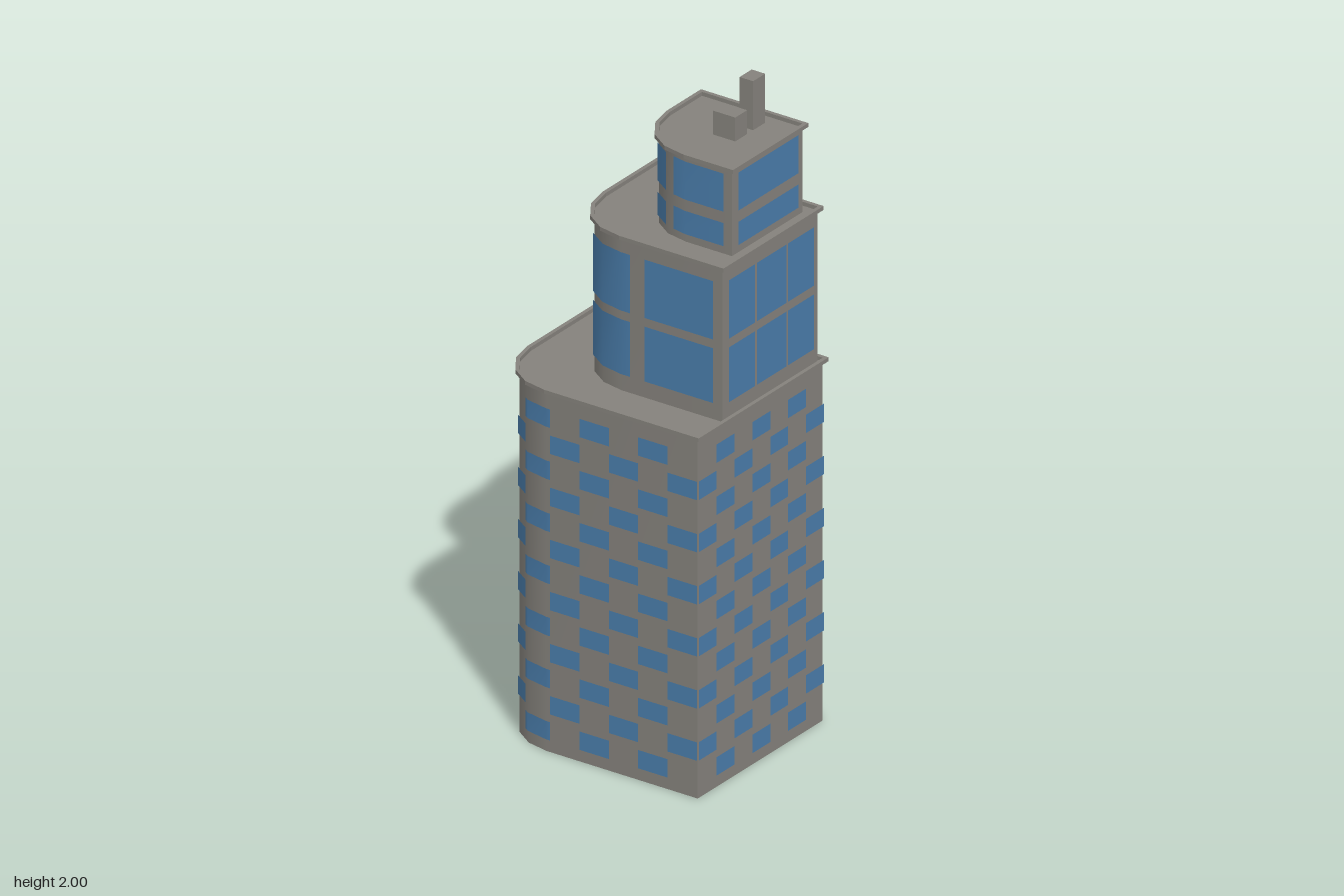
import * as THREE from 'three';

const concrete = new THREE.MeshStandardMaterial({ color: 0x85827c, side: THREE.DoubleSide });
concrete.name = 'concrete grey';
const glass = new THREE.MeshStandardMaterial({ color: 0x4a7dab });
glass.name = 'window blue';

const R = 0.185;      // radius of the rounded back corner
const LIP = 0.012;    // height and overhang of the roof trim
const PROUD = 0.004;  // how far the panes stand off the wall

// Wall extents of the three stacked tiers
const tiers = [
  { name: 'lower', x0: -0.3, x1: 0.3, z0: -0.35, z1: 0.35, y0: 0, y1: 1.125 },
  { name: 'middle', x0: -0.17, x1: 0.287, z0: -0.187, z1: 0.342, y0: 1.113, y1: 1.597 },
  { name: 'upper', x0: -0.085, x1: 0.253, z0: -0.028, z1: 0.314, y0: 1.585, y1: 1.86 },
];

// Back wall, rounded corner and left wall as one path of [x, z] points
function roundedPath(t, o) {
  const pts = [[t.x1 + o, t.z0 - o]];
  for (let i = 0; i <= 4; i++) {
    const a = (i / 4) * Math.PI / 2;
    pts.push([t.x0 + R - (R + o) * Math.sin(a), t.z0 + R - (R + o) * Math.cos(a)]);
  }
  pts.push([t.x0 - o, t.z1 + o]);
  return pts;
}

// Fractional position on a path where one coordinate (0 = x, 1 = z) has a value
function locate(path, axis, v) {
  for (let i = 0; i < path.length - 1; i++) {
    const a = path[i][axis], b = path[i + 1][axis];
    if (Math.abs(a - b) > 1e-6 && (v - a) * (v - b) <= 0) return i + (v - a) / (b - a);
  }
  return axis === 0 ? 0 : path.length - 1;
}

// Piece of a path between two fractional positions
function cut(path, s, e) {
  const at = (p) => {
    const i = Math.min(Math.floor(p), path.length - 2), f = p - i;
    return [0, 1].map((k) => path[i][k] + (path[i + 1][k] - path[i][k]) * f);
  };
  const pts = [at(s)];
  for (let i = Math.floor(s) + 1; i < e - 1e-6; i++) pts.push(path[i]);
  pts.push(at(e));
  return pts;
}

// Upright strip along [x, z] points that run left to right as seen from outside
function strip(pts, y0, y1) {
  const pos = [], index = [];
  pts.forEach(([x, z], i) => {
    pos.push(x, y0, z, x, y1, z);
    if (i) {
      const a = 2 * i - 2;
      index.push(a, a + 2, a + 3, a, a + 3, a + 1);
    }
  });
  const g = new THREE.BufferGeometry();
  g.setAttribute('position', new THREE.Float32BufferAttribute(pos, 3));
  g.setIndex(index);
  g.computeVertexNormals();
  return g;
}

function add(group, name, geometry, material) {
  const m = new THREE.Mesh(geometry, material);
  m.name = name;
  group.add(m);
  return m;
}

// Walls, recessed roof and projecting trim of one tier
function buildTier(t) {
  const g = new THREE.Group();
  g.name = t.name + 'Tier';
  const top = t.y1 - LIP;
  add(g, 'roundedWall', strip(roundedPath(t, 0), t.y0, top), concrete);
  add(g, 'frontWall', strip([[t.x0, t.z1], [t.x1, t.z1]], t.y0, top), concrete);
  add(g, 'sideWall', strip([[t.x1, t.z1], [t.x1, t.z0]], t.y0, top), concrete);

  const plan = (o) => [...roundedPath(t, o), [t.x1 + o, t.z1 + o]].map(([x, z]) => new THREE.Vector2(x, -z));
  const roof = add(g, 'roof', new THREE.ShapeGeometry(new THREE.Shape(plan(0))).rotateX(-Math.PI / 2), concrete);
  roof.position.y = top;
  const ring = new THREE.Shape(plan(LIP));
  ring.holes.push(new THREE.Path(plan(0)));
  const trim = new THREE.ExtrudeGeometry(ring, { depth: LIP, bevelEnabled: false }).rotateX(-Math.PI / 2);
  add(g, 'roofTrim', trim, concrete).position.y = top;
  return g;
}

// Window makers for each side of a tier
function windowMaker(g, t) {
  const path = roundedPath(t, PROUD);
  const curved = (name, a0, v0, a1, v1, y0, y1) =>
    add(g, name, strip(cut(path, locate(path, a0, v0), locate(path, a1, v1)), y0, y1), glass);
  return {
    front: (a, b, y0, y1) => add(g, 'frontWindow', strip([[a, t.z1 + PROUD], [b, t.z1 + PROUD]], y0, y1), glass),
    side: (a, b, y0, y1) => add(g, 'sideWindow', strip([[t.x1 + PROUD, b], [t.x1 + PROUD, a]], y0, y1), glass),
    back: (a, b, y0, y1) => curved('backWindow', 0, b, 0, a, y0, y1),
    left: (a, b, y0, y1) => curved('leftWindow', 1, a, 1, b, y0, y1),
    corner: (x, z, y0, y1) => curved('cornerWindow', 0, x, 1, z, y0, y1),
  };
}

export function createModel() {
  const model = new THREE.Group();
  model.name = 'tower';
  const groups = tiers.map(buildTier);
  groups.forEach((g) => model.add(g));
  const [low, mid, high] = tiers.map((t, i) => windowMaker(groups[i], t));

  // Lower tier: checkerboard of seven cells per side
  const cx = 0.6 / 7, cz = 0.1;
  for (let row = 0; row < 13; row++) {
    const y0 = 0.038 + row * 0.0808, y1 = y0 + 0.057;
    const wraps = row % 2 === 1;
    for (let c = wraps ? 0 : 1; c < 7; c += 2) {
      const x = -0.3 + c * cx, z = -0.35 + c * cz;
      low.front(x, x + cx, y0, y1);
      low.side(z, z + cz, y0, y1);
      if (c > 0) {
        low.back(x, x + cx, y0, y1);
        low.left(z, z + cz, y0, y1);
      }
    }
    if (wraps) low.corner(-0.3 + cx, -0.35 + cz, y0, y1);
  }

  // Middle tier: two rows of tall panes
  for (const [y0, y1] of [[1.165, 1.335], [1.362, 1.543]]) {
    for (const [a, b] of [[-0.145, -0.02], [-0.01, 0.131], [0.139, 0.264]]) mid.front(a, b, y0, y1);
    for (const [a, b] of [[-0.157, -0.014], [-0.004, 0.16], [0.169, 0.311]]) mid.side(a, b, y0, y1);
    mid.back(0.03, 0.257, y0, y1);
    mid.corner(-0.008, 0.03, y0, y1);
    mid.left(0.08, 0.312, y0, y1);
  }

  // Upper tier: one wide pane per side in two rows
  for (const [y0, y1] of [[1.61, 1.682], [1.717, 1.835]]) {
    high.front(-0.06, 0.228, y0, y1);
    high.side(-0.008, 0.278, y0, y1);
    high.back(0.016, 0.228, y0, y1);
    high.corner(-0.005, 0.078, y0, y1);
    high.left(0.112, 0.288, y0, y1);
  }

  // Rooftop chimneys
  const chimney = (name, x0, x1, z0, z1, top) => {
    const base = 1.848;
    const m = add(model, name, new THREE.BoxGeometry(x1 - x0, top - base, z1 - z0), concrete);
    m.position.set((x0 + x1) / 2, (top + base) / 2, (z0 + z1) / 2);
  };
  chimney('tallChimney', 0.159, 0.217, 0.167, 0.213, 2);
  chimney('shortChimney', 0.073, 0.13, 0.138, 0.213, 1.922);
  return model;
}
